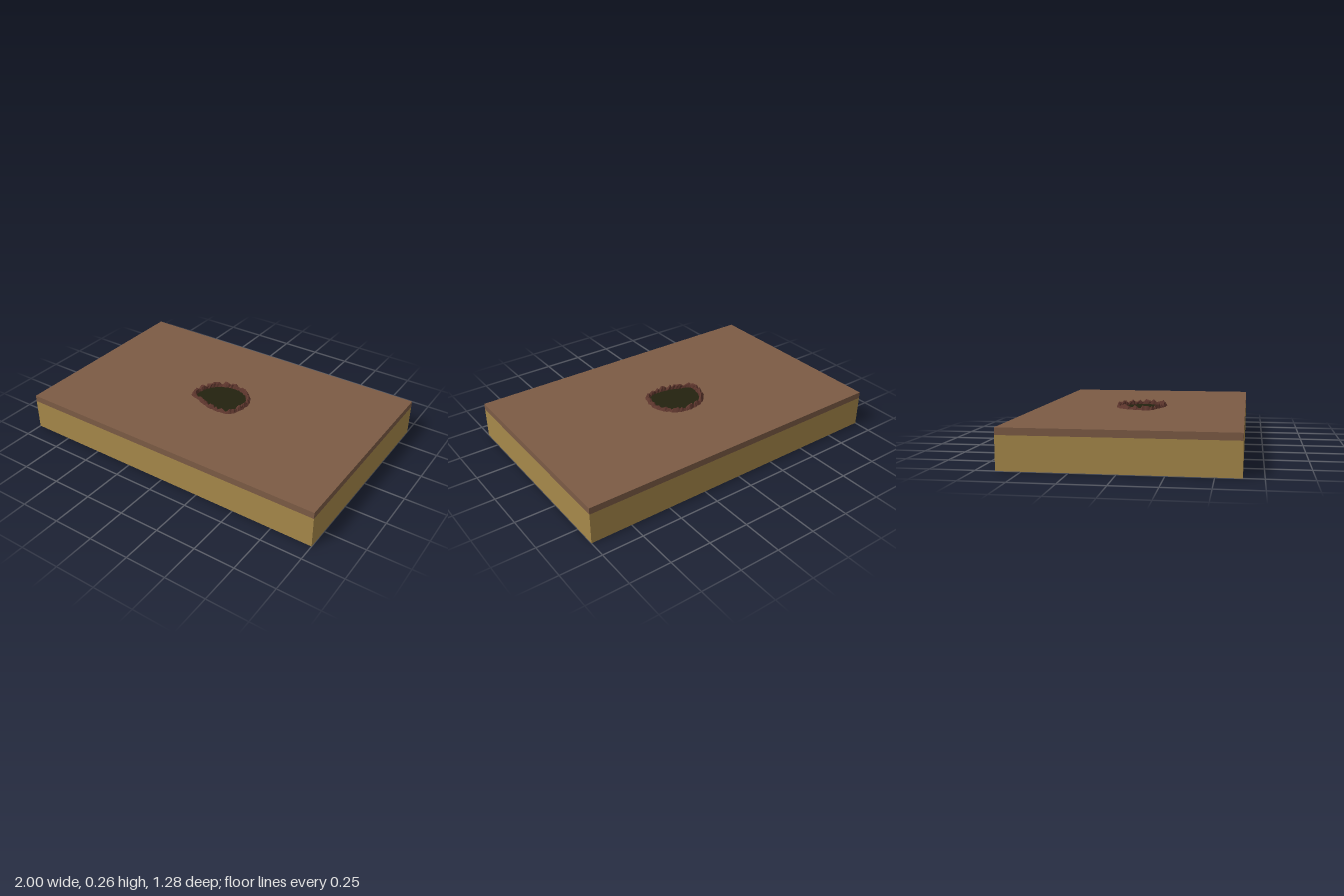
import * as THREE from 'three';

const W = 1, D = 0.64, SEAM = 0.19, TOP = 0.23;

function mat(name, color) {
  const m = new THREE.MeshStandardMaterial({ color, side: THREE.DoubleSide });
  m.name = name;
  return m;
}

function add(group, name, geometry, material) {
  const mesh = new THREE.Mesh(geometry, material);
  mesh.name = name;
  group.add(mesh);
  return mesh;
}

// Small seeded generator for the ragged rim
function seeded(seed) {
  return () => (seed = (seed * 16807) % 2147483647) / 2147483647;
}

// Four thin walls between two heights, open above and below
function addWalls(group, name, y0, y1, material) {
  for (let i = 0; i < 4; i++) {
    const alongX = i % 2 === 0;
    const g = new THREE.PlaneGeometry(2 * (alongX ? W : D), y1 - y0);
    const wall = add(group, name + ['Front', 'Left', 'Back', 'Right'][i], g, material);
    const a = i * Math.PI / 2;
    wall.rotation.y = a;
    wall.position.set(Math.sin(a) * W, (y0 + y1) / 2, Math.cos(a) * D);
  }
}

// Flat sheet from x,z points, facing up
function sheet(points, holePoints) {
  const shape = new THREE.Shape(points.map(([x, z]) => new THREE.Vector2(x, -z)));
  if (holePoints) shape.holes.push(new THREE.Path(holePoints.map(([x, z]) => new THREE.Vector2(x, -z))));
  return new THREE.ShapeGeometry(shape).rotateX(-Math.PI / 2);
}

export function createModel() {
  const group = new THREE.Group();
  const sand = mat('sand', 0xa6884a);
  const soil = mat('soil', 0x7c5b45);
  const clod = mat('darkClay', 0x5c352c);
  const murk = mat('darkGreen', 0x23220f);

  addWalls(group, 'sandWall', 0, SEAM, sand);
  addWalls(group, 'soilWall', SEAM, TOP, soil);

  // Irregular outline of the pit, x and z
  const outline = [
    [-0.2, 0.06], [-0.195, -0.01], [-0.175, -0.07], [-0.125, -0.13], [-0.06, -0.16],
    [0.01, -0.168], [0.08, -0.15], [0.135, -0.105], [0.17, -0.05], [0.17, 0.04],
    [0.15, 0.1], [0.11, 0.135], [0.03, 0.142], [-0.05, 0.128], [-0.12, 0.1], [-0.18, 0.08],
  ].map(([x, z]) => new THREE.Vector3(x, 0, z));
  const N = 80;
  const curve = new THREE.CatmullRomCurve3(outline, true);
  const rand = seeded(4217);

  // Cross-sections of the rim: outer foot, outer crest, inner crest, inner foot
  const rings = [[], [], [], []];
  const positions = [];
  for (let i = 0; i < N; i++) {
    const p = curve.getPointAt(i / N);
    const wobble = 0.98 + rand() * 0.05;
    const crest = 0.238 + rand() * 0.022;
    const section = [
      [wobble, TOP], [wobble - 0.06 - rand() * 0.03, crest],
      [wobble - 0.12 - rand() * 0.03, crest - rand() * 0.008], [0.83 + rand() * 0.03, TOP - 0.004],
    ];
    section.forEach(([s, y], k) => {
      rings[k].push([p.x * s, p.z * s]);
      positions.push(p.x * s, y, p.z * s);
    });
  }
  const index = [];
  for (let i = 0; i < N; i++) {
    for (let k = 0; k < 3; k++) {
      const a = i * 4 + k, b = ((i + 1) % N) * 4 + k;
      index.push(a, a + 1, b, b, a + 1, b + 1);
    }
  }
  let rim = new THREE.BufferGeometry();
  rim.setAttribute('position', new THREE.Float32BufferAttribute(positions, 3));
  rim.setIndex(index);
  // Wind the rim so that its crest faces up
  const mid = (i) => new THREE.Vector3().fromArray(positions, index[i] * 3);
  const up = mid(7).sub(mid(6)).cross(mid(8).sub(mid(6))).y;
  if (up < 0) rim.setIndex(index.reverse());
  rim = rim.toNonIndexed();
  rim.computeVertexNormals();

  // Ground with the pit cut out, ragged rim and dark pit floor
  add(group, 'ground', sheet([[-W, D], [W, D], [W, -D], [-W, -D]], rings[0]), soil).position.y = TOP;
  add(group, 'pitRim', rim, clod);
  add(group, 'pitFloor', sheet(rings[3]), murk).position.y = TOP - 0.004;
  return group;
}
